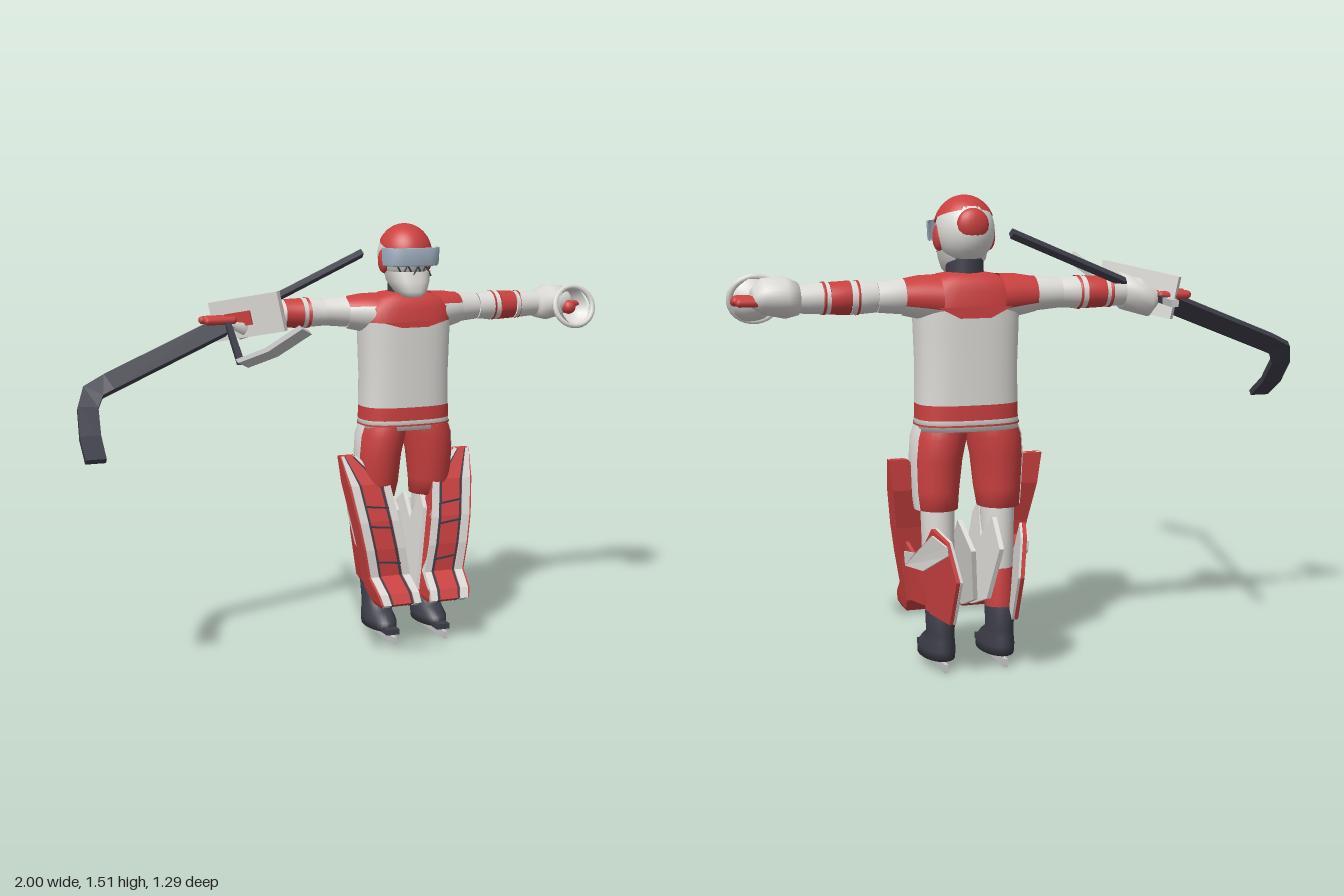
import * as THREE from 'three';

const paint = (name, color) => new THREE.MeshStandardMaterial({ name, color, side: THREE.DoubleSide });
const red = paint('red', 0xcb4040);
const white = paint('white', 0xdcdad6);
const dark = paint('charcoal', 0x3e3e4a);
const visorBlue = paint('visor blue', 0xa3b2c4);
const steel = paint('light grey', 0xc9c9ca);

function add(parent, name, geo, mat, pos = [0, 0, 0], rot = [0, 0, 0], scale = [1, 1, 1]) {
  const m = new THREE.Mesh(geo, mat);
  m.name = name;
  m.position.set(...pos);
  m.rotation.set(...rot);
  m.scale.set(...scale);
  parent.add(m);
  return m;
}

// surface through rings of [x, y, z] points
function loft(rings, closed, smooth) {
  const n = rings[0].length, idx = [];
  for (let i = 0; i < rings.length - 1; i++) {
    for (let j = 0; j < (closed ? n : n - 1); j++) {
      const a = i * n + j, b = i * n + (j + 1) % n;
      idx.push(a, a + n, b, b, a + n, b + n);
    }
  }
  if (closed && !smooth) {
    for (const s of [0, (rings.length - 1) * n]) for (let j = 1; j < n - 1; j++) idx.push(s, s + j, s + j + 1);
  }
  let g = new THREE.BufferGeometry();
  g.setAttribute('position', new THREE.Float32BufferAttribute(rings.flat(2), 3));
  g.setIndex(idx);
  if (!smooth) g = g.toNonIndexed();
  g.computeVertexNormals();
  return g;
}

// rounded body along 'x' or 'y'; rows are [t, centreA, centreZ, radiusA, radiusZ], optionally only an arc
function skin(parent, name, mat, axis, rows, { from = 0, to = 360, power = 1 } = {}) {
  const full = to - from === 360, n = 32;
  const bend = v => Math.sign(v) * Math.abs(v) ** power;
  const rings = rows.map(([t, ca, cz, ra, rz]) => Array.from({ length: full ? n : n + 1 }, (_, i) => {
    const a = (from + (to - from) * i / n) * Math.PI / 180;
    const p = ca + ra * bend(Math.cos(a)), z = cz + rz * bend(Math.sin(a));
    return axis === 'y' ? [p, t, z] : [t, p, z];
  }));
  return add(parent, name, loft(rings, full, true), mat);
}

// flat bar; rows are [centre, half width vector, half thickness vector]
function bar(parent, name, mat, rows) {
  const rings = rows.map(([c, w, t]) => [[1, 1], [-1, 1], [-1, -1], [1, -1]].map(([a, b]) =>
    c.map((v, i) => v + a * w[i] + b * t[i])));
  return add(parent, name, loft(rings, true, false), mat);
}

// flat plate drawn in (z, y); x follows a sloped rule
function plate(parent, name, mat, pts, thick, xAt) {
  const ring = o => pts.map(([z, y]) => [xAt(y, z) + o, y, z]);
  return add(parent, name, loft([ring(0), ring(thick)], true, false), mat);
}

// leg pad section rows: y, inner x, outer x, front z, back z
const padRows = [
  [0.68, 0.195, 0.255, -0.31, -0.34], [0.58, 0.085, 0.242, -0.255, -0.335], [0.45, 0.065, 0.222, -0.215, -0.295],
  [0.35, 0.048, 0.205, -0.2, -0.275], [0.25, 0.03, 0.188, -0.2, -0.265], [0.2, 0.022, 0.18, -0.13, -0.26],
  [0.165, 0.02, 0.172, -0.112, -0.22], [0.15, 0.025, 0.165, -0.14, -0.2]];
function padStrip(parent, name, mat, f0, f1, lift, depth) {
  const rings = padRows.map(([y, xi, xo, zf, zb]) => {
    const a = xi + (xo - xi) * f0, b = xi + (xo - xi) * f1, back = depth ? zf - depth : zb;
    return [[a, y, zf + lift], [b, y, zf + lift], [b, y, back], [a, y, back]];
  });
  add(parent, name, loft(rings, true, false), mat);
}

function fingers(parent, x, y, z) {
  for (let i = 0; i < 4; i++) {
    add(parent, 'finger', new THREE.CapsuleGeometry(0.014, 0.09, 4, 10), red,
      [x - Math.abs(i - 1.5) * 0.008, y + (i % 2) * 0.004, z + i * 0.025], [0, 0, Math.PI / 2]);
  }
}

function buildLeg() {
  const g = new THREE.Group();
  const pants = [[0.79, 0.082, -0.33, 0.083, 0.1], [0.75, 0.09, -0.332, 0.088, 0.108], [0.68, 0.1, -0.333, 0.083, 0.1],
    [0.58, 0.103, -0.333, 0.075, 0.09], [0.52, 0.103, -0.345, 0.068, 0.077], [0.515, 0.103, -0.345, 0.04, 0.04]];
  skin(g, 'pants leg', red, 'y', pants);
  skin(g, 'pants side stripe', white, 'y', pants.slice(0, 5).map(([t, a, z, r, q]) => [t, a, z, r + 0.003, q + 0.003]), { from: -28, to: 18 });
  skin(g, 'sock', white, 'y', [[0.54, 0.1, -0.345, 0.055, 0.06], [0.42, 0.1, -0.35, 0.052, 0.062], [0.32, 0.1, -0.35, 0.05, 0.062]]);
  skin(g, 'sock band', red, 'y', [[0.32, 0.1, -0.35, 0.05, 0.062], [0.25, 0.1, -0.36, 0.048, 0.06], [0.17, 0.1, -0.37, 0.045, 0.05]]);

  // skate
  skin(g, 'skate boot', dark, 'y', [[0.195, 0.1, -0.375, 0.04, 0.045], [0.19, 0.1, -0.375, 0.049, 0.056], [0.12, 0.1, -0.37, 0.044, 0.06],
    [0.095, 0.1, -0.345, 0.05, 0.085], [0.065, 0.1, -0.325, 0.056, 0.11], [0.035, 0.1, -0.32, 0.055, 0.112], [0.025, 0.1, -0.32, 0, 0]]);
  add(g, 'skate toe', new THREE.BoxGeometry(0.05, 0.02, 0.05), dark, [0.1, 0.041, -0.205]);
  add(g, 'skate blade', new THREE.BoxGeometry(0.012, 0.028, 0.28), steel, [0.1, 0.014, -0.3]);

  // pad with painted rolls and seams
  padStrip(g, 'pad', red, 0, 1, 0, 0);
  padStrip(g, 'pad inner roll', white, 0.0, 0.17, 0.006, 0.02);
  padStrip(g, 'pad inner seam', dark, 0.19, 0.24, 0.004, 0.01);
  padStrip(g, 'pad outer seam', dark, 0.7, 0.74, 0.004, 0.01);
  padStrip(g, 'pad outer roll', white, 0.76, 0.95, 0.006, 0.03);
  for (const [y, x, z] of [[0.5, 0.14, -0.23], [0.43, 0.135, -0.21], [0.3, 0.11, -0.197]]) {
    add(g, 'pad cross seam', new THREE.BoxGeometry(0.09, 0.006, 0.008), dark, [x, y, z], [0, 0, 0.12]);
  }

  // calf wraps
  const outer = (y, z) => 0.17 + (y - 0.2) * 0.1 + Math.min(0, z + 0.3) * 0.25;
  plate(g, 'side wrap', red, [[-0.24, 0.2], [-0.24, 0.42], [-0.29, 0.4], [-0.38, 0.33], [-0.37, 0.21]], -0.012, outer);
  const fin = [[-0.35, 0.35], [-0.47, 0.48], [-0.55, 0.45], [-0.59, 0.33], [-0.52, 0.18], [-0.4, 0.19]];
  plate(g, 'calf flap', red, fin, -0.012, outer);
  plate(g, 'calf flap lining', white, fin, -0.008, (y, z) => outer(y, z) - 0.013);
  plate(g, 'calf strap', white, [[-0.27, 0.32], [-0.28, 0.37], [-0.36, 0.38], [-0.48, 0.46], [-0.56, 0.44], [-0.56, 0.41], [-0.4, 0.33]],
    0.006, (y, z) => outer(y, z) + 0.001);
  plate(g, 'inner flap', white, [[-0.22, 0.18], [-0.25, 0.48], [-0.3, 0.53], [-0.36, 0.42], [-0.45, 0.5], [-0.56, 0.42], [-0.5, 0.25], [-0.36, 0.2]],
    0.015, (y) => 0.005 + (y - 0.18) * 0.14);
  return g;
}

function buildArm() {
  const g = new THREE.Group();
  const shoulder = [[0.1, 1.19, -0.345, 0.075, 0.1], [0.16, 1.195, -0.35, 0.068, 0.085], [0.22, 1.197, -0.358, 0.056, 0.067]];
  skin(g, 'shoulder', red, 'x', shoulder, { from: -115, to: 65 });
  skin(g, 'underarm', white, 'x', shoulder, { from: 65, to: 245 });
  const sleeve = (name, mat, a, b, r0, r1) => skin(g, name, mat, 'x',
    [[a, 1.2, -0.365, r0, r0 + 0.006], [(a + b) / 2, 1.2, -0.37, (r0 + r1) / 2, (r0 + r1) / 2 + 0.006], [b, 1.2, -0.37, r1, r1 + 0.004]]);
  sleeve('upper sleeve', white, 0.215, 0.3, 0.056, 0.048);
  sleeve('elbow', white, 0.3, 0.385, 0.048, 0.053);
  sleeve('thin sleeve band', red, 0.357, 0.367, 0.0535, 0.0545);
  sleeve('sleeve band', red, 0.385, 0.45, 0.053, 0.05);
  sleeve('forearm', white, 0.45, 0.58, 0.05, 0.042);
  sleeve('thin wrist band', red, 0.463, 0.473, 0.0515, 0.051);
  return g;
}

export function createModel() {
  const model = new THREE.Group();
  model.name = 'goalkeeper';
  for (const s of [1, -1]) {
    for (const [part, build] of [['Leg', buildLeg], ['Arm', buildArm]]) {
      const g = build();
      g.name = (s > 0 ? 'left' : 'right') + part;
      g.position.x = 0.247;
      g.scale.x = s;
      model.add(g);
    }
  }

  // jersey in bands
  const body = new THREE.Group();
  body.name = 'jersey';
  body.position.x = 0.247;
  model.add(body);
  const row = (y, rx, rz) => [y, 0, -0.335, rx, rz];
  const soft = { power: 0.72 };
  skin(body, 'jersey hem', white, 'y', [row(0.775, 0.1, 0.07), row(0.775, 0.167, 0.108), row(0.81, 0.166, 0.106)], soft);
  skin(body, 'hem line', red, 'y', [row(0.79, 0.169, 0.11), row(0.796, 0.169, 0.11)], soft);
  skin(body, 'waist band', red, 'y', [row(0.81, 0.166, 0.106), row(0.858, 0.165, 0.106)], soft);
  skin(body, 'jersey body', white, 'y', [row(0.858, 0.165, 0.106), row(0.97, 0.163, 0.106), row(1.08, 0.167, 0.108), row(1.165, 0.17, 0.109)], soft);
  skin(body, 'yoke', red, 'y', [row(1.165, 0.17, 0.109), row(1.215, 0.165, 0.104), row(1.245, 0.135, 0.09), row(1.265, 0.09, 0.07), row(1.28, 0, 0)], soft);
  for (const [z, drop] of [[-0.2245, 0.02], [-0.4455, 0.035]]) {
    const tip = new THREE.Shape([[-0.12, 0], [0.12, 0], [0.05, -drop], [-0.05, -drop]].map(p => new THREE.Vector2(...p)));
    add(body, 'yoke point', new THREE.ShapeGeometry(tip), red, [0, 1.167, z]);
  }

  // head
  const head = new THREE.Group();
  head.name = 'head';
  head.position.set(0.247, 1.4, -0.32);
  model.add(head);
  skin(head, 'neck', dark, 'y', [[-0.15, 0, -0.01, 0.06, 0.06], [-0.06, 0, 0, 0.06, 0.07]]);
  add(head, 'helmet shell', new THREE.SphereGeometry(0.1, 32, 20), white, [0, 0, -0.01], [0, 0, 0], [0.93, 1.06, 1.08]);
  add(head, 'helmet cap', new THREE.SphereGeometry(0.1, 32, 16, 0, Math.PI * 2, 0, 1.25), red, [0, 0.005, -0.004], [0.3, 0, 0], [0.97, 1.06, 1.08]);
  add(head, 'back patch', new THREE.SphereGeometry(0.04, 20, 12), red, [0, 0.02, -0.095], [0, 0, 0], [1.3, 1.3, 0.7]);
  for (const s of [-1, 1]) {
    add(head, 'ear cover', new THREE.SphereGeometry(0.04, 20, 12), red, [s * 0.082, -0.02, 0.0], [0, 0, 0], [0.5, 1.1, 0.75]);
  }
  skin(head, 'visor', visorBlue, 'y', [[-0.035, 0, 0.01, 0.1, 0.098], [-0.03, 0, 0.01, 0.103, 0.108], [0.028, 0, 0.01, 0.106, 0.11], [0.03, 0, 0.01, 0.1, 0.1]],
    { from: 5, to: 175, power: 0.55 });
  for (let i = -3; i <= 3; i++) {
    add(head, 'cage bar', new THREE.CylinderGeometry(0.003, 0.003, 0.05, 6), dark, [i * 0.018, -0.05, 0.1 - Math.abs(i) * 0.006], [0, 0, i % 2 ? 0.5 : -0.5]);
  }
  skin(head, 'chin guard', white, 'y', [[-0.055, 0, 0.02, 0.08, 0.08], [-0.09, 0, 0.025, 0.072, 0.085], [-0.125, 0, 0.045, 0.055, 0.072],
    [-0.145, 0, 0.055, 0.035, 0.05], [-0.15, 0, 0.055, 0, 0]], { power: 0.8 });

  // catching glove on the left hand
  const glove = new THREE.Group();
  glove.name = 'catching glove';
  model.add(glove);
  skin(glove, 'glove cuff', white, 'x', [[0.79, 1.2, -0.36, 0, 0], [0.79, 1.2, -0.36, 0.05, 0.06], [0.83, 1.205, -0.355, 0.065, 0.085],
    [0.9, 1.21, -0.36, 0.055, 0.075], [0.93, 1.205, -0.365, 0.03, 0.05], [0.93, 1.205, -0.365, 0, 0]]);
  const bowl = [[0, -0.065], [0.035, -0.055], [0.06, -0.03], [0.074, 0]].map(p => new THREE.Vector2(...p));
  add(glove, 'glove pocket', new THREE.LatheGeometry(bowl, 24), white, [0.905, 1.195, -0.262], [1.25, 0, -0.4], [1.08, 1, 1]);
  add(glove, 'pocket rim', new THREE.TorusGeometry(0.074, 0.01, 8, 28), white, [0.905, 1.195, -0.262], [-0.32, 0, 0.3], [1.05, 1, 1]);
  add(glove, 'palm patch', new THREE.SphereGeometry(0.026, 14, 10), red, [0.895, 1.19, -0.285]);
  fingers(glove, 0.94, 1.195, -0.402);

  // blocking glove on the right hand
  const blocker = new THREE.Group();
  blocker.name = 'blocking glove';
  model.add(blocker);
  add(blocker, 'blocker board', new THREE.BoxGeometry(0.27, 0.14, 0.025), white, [-0.345, 1.2, -0.325], [0.1, -0.74, 0.25]);
  add(blocker, 'blocker patch', new THREE.BoxGeometry(0.1, 0.05, 0.008), red, [-0.375, 1.19, -0.334], [0.1, -0.74, 0.25]);
  skin(blocker, 'blocker cuff', white, 'x', [[-0.27, 1.2, -0.365, 0, 0], [-0.27, 1.2, -0.365, 0.06, 0.065], [-0.36, 1.17, -0.37, 0.055, 0.055], [-0.42, 1.18, -0.37, 0, 0]]);
  fingers(blocker, -0.43, 1.185, -0.402);

  // wide goal stick
  const paddle = [-0.012, 0.023, -0.024], flat = [0, 0.008, 0.007], shaft = [-0.003, 0.008, -0.007];
  bar(model, 'goal stick', dark, [[[-0.966, 0.79, 0.01], [-0.034, 0, 0], flat], [[-0.96, 0.85, -0.095], [-0.035, 0, 0], flat],
    [[-0.945, 0.93, -0.19], [-0.034, 0.003, -0.003], flat], [[-0.918, 0.978, -0.23], [-0.03, 0.014, -0.015], flat],
    [[-0.86, 1.003, -0.245], paddle, flat], [[-0.43, 1.163, -0.362], paddle, flat],
    [[-0.38, 1.185, -0.378], shaft, flat], [[0.15, 1.395, -0.5], shaft, flat]]);

  // second stick held across
  const w = [0.01, 0, 0], t = [0, 0.011, 0], bw = [-0.02, 0.01, 0.014], bt = [0.003, -0.005, 0.005];
  bar(model, 'stick shaft', dark, [[[-0.62, 1.157, 0.475], w, t], [[-0.37, 1.175, -0.5], w, t]]);
  bar(model, 'stick grip', steel, [[[-0.37, 1.175, -0.5], [0.012, 0, 0], t], [[-0.337, 1.178, -0.645], [0.012, 0, 0], t]]);
  bar(model, 'stick blade', steel, [[[-0.615, 1.15, 0.475], bw, bt], [[-0.545, 1.19, 0.55], bw, bt], [[-0.465, 1.262, 0.628], bw, bt]]);
  return model;
}
